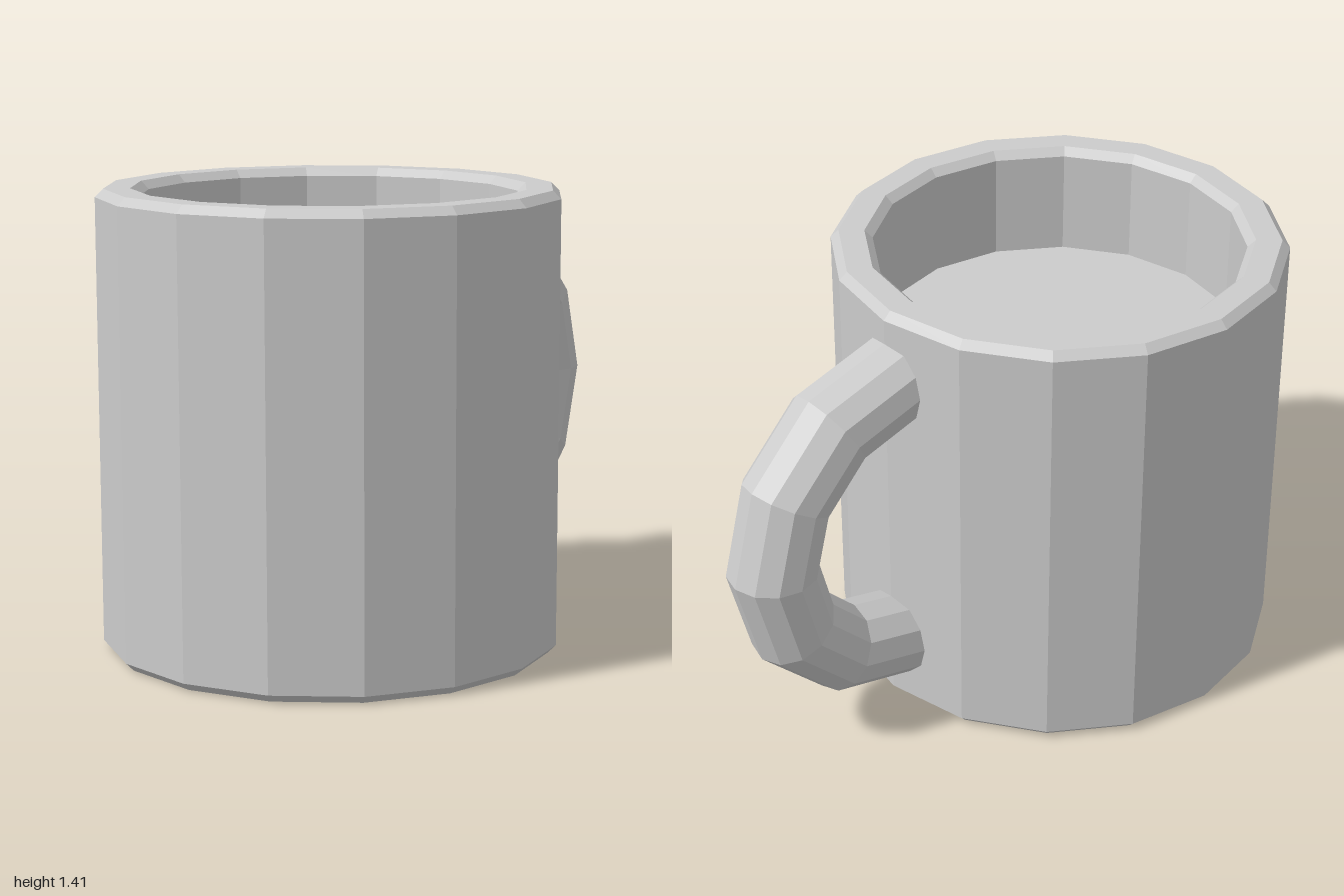
import * as THREE from 'three';

export function createModel() {
  const model = new THREE.Group();
  const material = new THREE.MeshStandardMaterial({ color: 0xcccccc, flatShading: true });
  const cupZ = 0.295, midY = 0.705;

  function add(name, geometry, x, y, z) {
    const mesh = new THREE.Mesh(geometry, material);
    mesh.name = name;
    mesh.position.set(x, y, z);
    model.add(mesh);
  }

  // Cup: 16-sided body with chamfered foot and rim, hollow down to the inner floor
  const profile = [
    [0, 0], [0.68, 0], [0.705, 0.025], [0.705, 1.385], [0.68, 1.41],
    [0.6, 1.41], [0.575, 1.385], [0.575, 1.05], [0, 1.05],
  ].map(([r, y]) => new THREE.Vector2(r, y));
  add('cup', new THREE.LatheGeometry(profile, 16), 0, 0, cupZ);

  // Handle: half ring standing behind the cup
  const ringRadius = 0.465, tubeRadius = 0.14, handleZ = -0.395;
  const ring = new THREE.TorusGeometry(ringRadius, tubeRadius, 12, 6, Math.PI);
  ring.rotateZ(Math.PI / 2).rotateY(-Math.PI / 2);
  add('handle', ring, 0, midY, handleZ);

  // Closed ends where the handle meets the wall
  for (const [name, side] of [['handleTopEnd', 1], ['handleBottomEnd', -1]]) {
    add(name, new THREE.CircleGeometry(tubeRadius, 12), 0, midY + side * ringRadius, handleZ);
  }

  return model;
}
